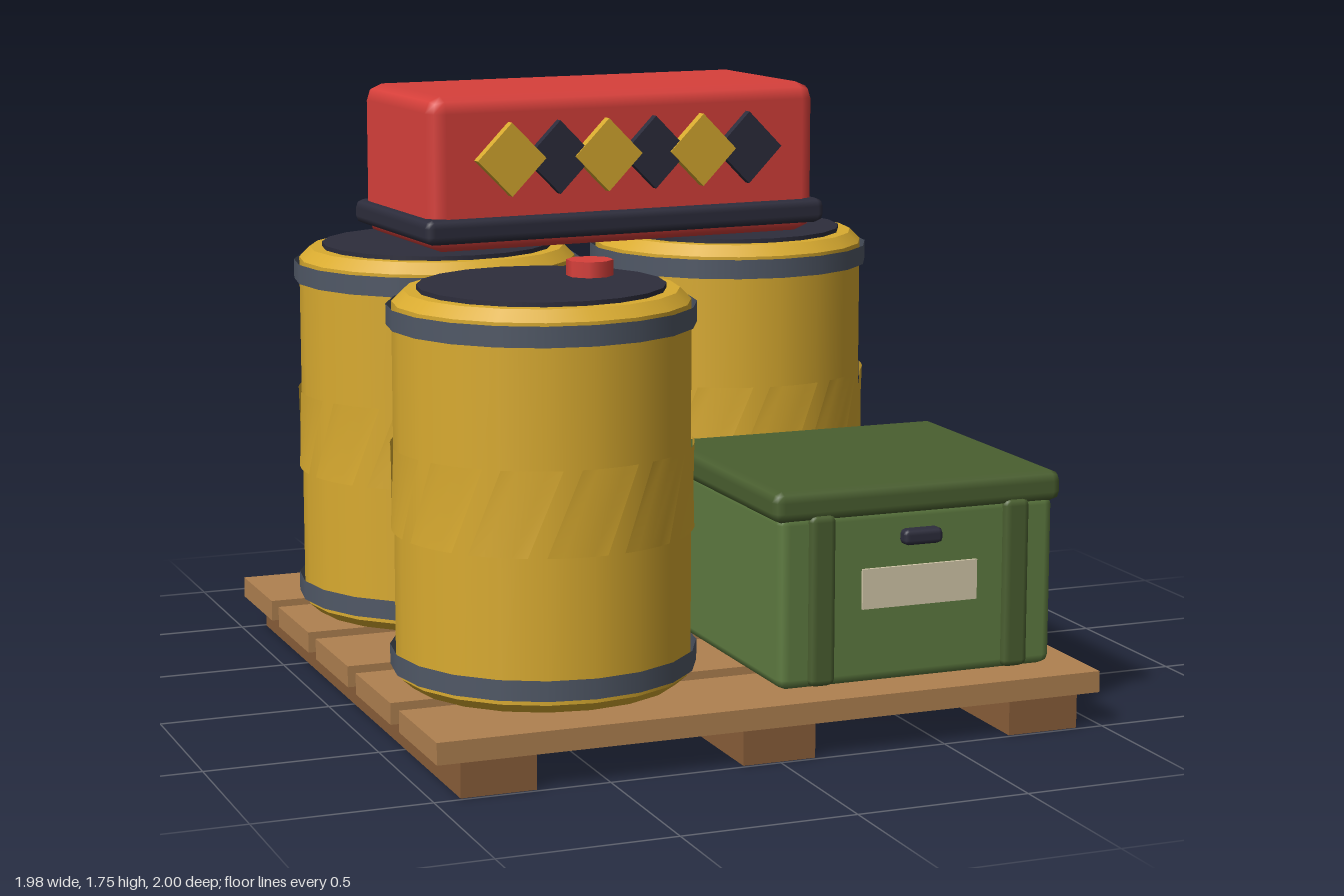
import * as THREE from 'three';
import { RoundedBoxGeometry } from 'three/addons/geometries/RoundedBoxGeometry.js';

const mat = (name, color) => {
  const m = new THREE.MeshStandardMaterial({ color });
  m.name = name;
  return m;
};

export function createModel() {
  const plankWood = mat('plank wood', 0xb08150);
  const runnerWood = mat('runner wood', 0x8a5f3a);
  const yellow = mat('drum yellow', 0xd9ab30);
  const steel = mat('hoop steel', 0x505866);
  const dark = mat('dark navy', 0x2d2d3c);
  const red = mat('red', 0xd8403b);
  const green = mat('crate green', 0x5f7c41);
  const deepGreen = mat('lid green', 0x4a5f30);
  const cream = mat('label cream', 0xd4c8aa);
  steel.side = THREE.DoubleSide;
  yellow.side = THREE.DoubleSide;

  const model = new THREE.Group();
  model.name = 'loadedPallet';
  const group = (name, parent = model) => {
    const g = new THREE.Group();
    g.name = name;
    parent.add(g);
    return g;
  };
  const add = (parent, name, geo, material, x = 0, y = 0, z = 0) => {
    const m = new THREE.Mesh(geo, material);
    m.name = name;
    m.position.set(x, y, z);
    parent.add(m);
    return m;
  };
  const box = (w, h, d) => new THREE.BoxGeometry(w, h, d);
  const bevelBox = (w, h, d, r) => new RoundedBoxGeometry(w, h, d, 1, r);

  // Pallet: three runners under five planks
  const pallet = group('pallet');
  for (const x of [-0.815, 0, 0.815]) add(pallet, 'runner', box(0.215, 0.1, 1.98), runnerWood, x, 0.05, 0);
  for (let i = -2; i <= 2; i++) add(pallet, 'plank', box(1.98, 0.062, 0.335), plankWood, 0, 0.131, i * 0.4155);

  // Slanted raised stripe wrapped on the drum wall
  const slantedStripe = (start) => {
    const height = 0.24;
    const geo = new THREE.CylinderGeometry(0.426, 0.426, height, 4, 1, true, start, 0.4);
    const p = geo.attributes.position;
    const v = new THREE.Vector3();
    const up = new THREE.Vector3(0, 1, 0);
    for (let i = 0; i < p.count; i++) {
      v.fromBufferAttribute(p, i).applyAxisAngle(up, (v.y / height) * 0.23);
      p.setXYZ(i, v.x, v.y, v.z);
    }
    geo.computeVertexNormals();
    return geo;
  };

  // Drums with chamfered ends, hoops, stripes, lid and cap
  const drum = (name, x, z) => {
    const g = group(name);
    g.position.set(x, 0, z);
    const cyl = (rTop, rBottom, y0, y1, sides = 20, open = false) =>
      new THREE.CylinderGeometry(rTop, rBottom, y1 - y0, sides, 1, open).translate(0, (y0 + y1) / 2, 0);
    add(g, 'drumWall', cyl(0.417, 0.417, 0.19, 1.24, 20, true), yellow);
    add(g, 'drumTopRim', cyl(0.385, 0.417, 1.24, 1.272), yellow);
    add(g, 'drumBottomRim', cyl(0.417, 0.385, 0.162, 0.19), yellow);
    for (const y of [0.205, 1.175]) add(g, 'hoop', cyl(0.433, 0.433, y, y + 0.058, 20, true), steel);
    for (let i = 0; i < 12; i++) add(g, 'stripe', slantedStripe(-0.2 + (i * Math.PI) / 6), yellow, 0, 0.72, 0);
    add(g, 'drumLid', cyl(0.348, 0.348, 1.265, 1.285), dark);
    add(g, 'drumCap', cyl(0.067, 0.067, 1.28, 1.33, 8).rotateY(Math.PI / 8), red, 0.18, 0, -0.1);
  };
  drum('frontRightDrum', -0.5, 0.465);
  drum('backRightDrum', -0.5, -0.48);
  drum('backLeftDrum', 0.465, -0.5);

  // Green crate with overhanging lid, ribs, latch and label
  const crate = group('greenCrate');
  crate.position.set(0.472, 0, 0.47);
  add(crate, 'crateBody', bevelBox(0.85, 0.5, 0.82, 0.03), green, 0, 0.413, 0);
  add(crate, 'crateLid', bevelBox(0.89, 0.09, 0.845, 0.03), deepGreen, 0, 0.685, 0);
  for (const side of [-1, 1])
    for (const face of [-1, 1])
      add(crate, 'crateRib', bevelBox(0.08, 0.49, 0.05, 0.02), deepGreen, side * 0.3, 0.415, face * 0.405);
  add(crate, 'latch', bevelBox(0.12, 0.045, 0.05, 0.015), dark, 0, 0.578, 0.42);
  add(crate, 'label', box(0.355, 0.115, 0.009), cream, 0, 0.437, 0.4145);

  // Red case resting askew across the back drums
  const chest = group('redCase');
  chest.position.set(-0.002, 0, -0.49);
  chest.rotation.y = 0.07;
  add(chest, 'caseBody', bevelBox(1.275, 0.46, 0.575, 0.05), red, 0, 1.518, 0);
  add(chest, 'caseBand', bevelBox(1.32, 0.075, 0.62, 0.025), dark, 0, 1.353, 0);

  // Row of alternating diamonds on the case front
  for (let i = 0; i < 6; i++) {
    const isYellow = i % 2 === 0;
    const tile = box(0.155, 0.155, 0.03).rotateZ(Math.PI / 4);
    add(chest, 'diamond', tile, isYellow ? yellow : dark, (i - 2.5) * 0.157, 1.56, isYellow ? 0.302 : 0.298);
  }

  return model;
}
